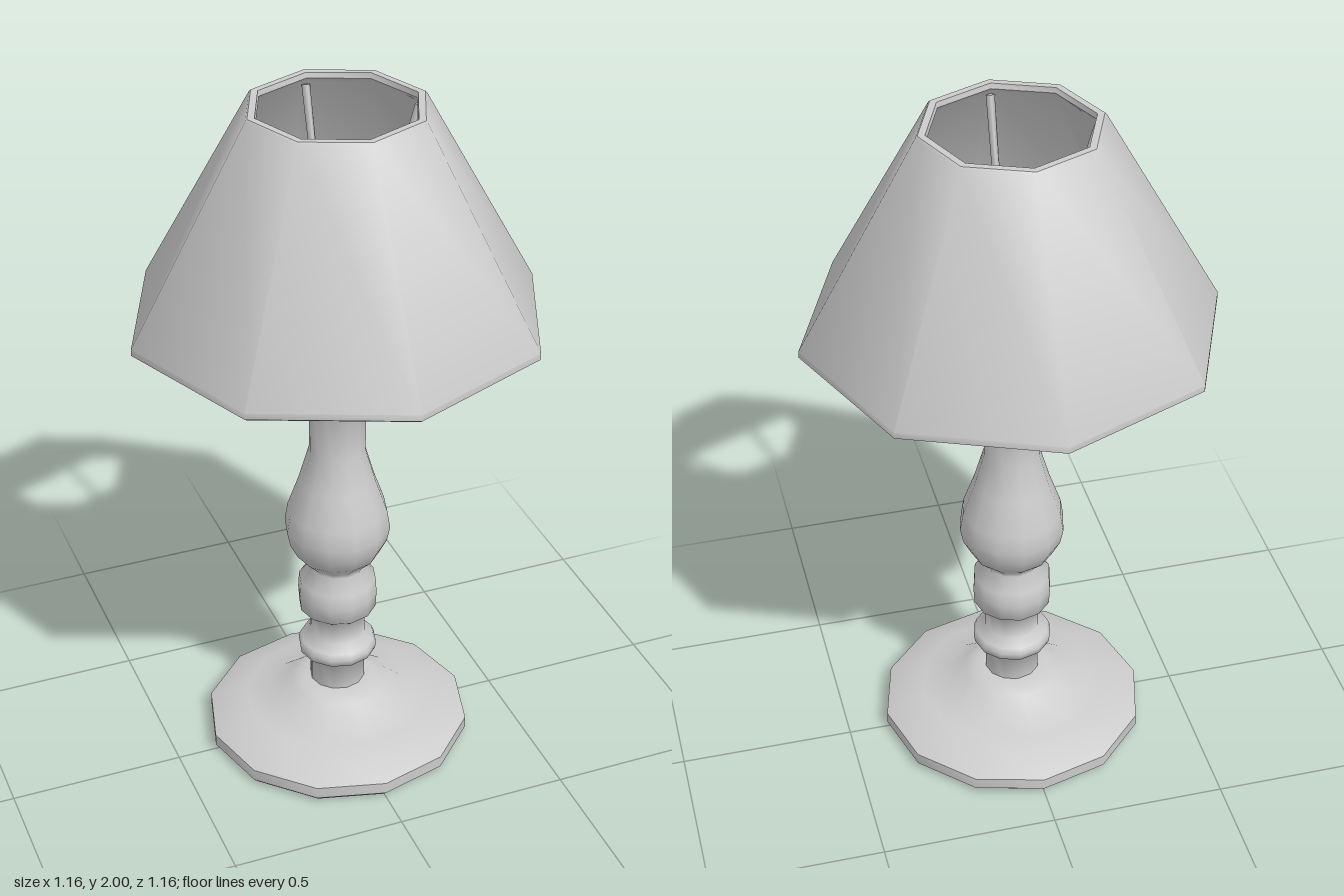
import * as THREE from 'three';
import { toCreasedNormals } from 'three/addons/utils/BufferGeometryUtils.js';

const material = new THREE.MeshStandardMaterial({ color: 0xcccccc });

// Lathe part from [radius, height] pairs; edges sharper than the crease stay hard
function turned(name, profile, sides, crease) {
  const points = profile.map(([r, y]) => new THREE.Vector2(r, y));
  const geometry = toCreasedNormals(new THREE.LatheGeometry(points, sides), crease);
  const mesh = new THREE.Mesh(geometry, material);
  mesh.name = name;
  return mesh;
}

// Straight rod between two points
function rod(name, from, to, rFrom, rTo) {
  const direction = to.clone().sub(from);
  const mesh = new THREE.Mesh(
    new THREE.CylinderGeometry(rTo, rFrom, direction.length(), 4), material);
  mesh.position.copy(from).add(to).multiplyScalar(0.5);
  mesh.quaternion.setFromUnitVectors(new THREE.Vector3(0, 1, 0), direction.normalize());
  mesh.name = name;
  return mesh;
}

export function createModel() {
  const lamp = new THREE.Group();
  lamp.name = 'tableLamp';

  // Foot disc with a low dome
  lamp.add(turned('base', [
    [0, 0], [0.37, 0], [0.385, 0.015], [0.385, 0.05], [0.27, 0.105],
    [0.205, 0.107], [0.14, 0.16], [0.11, 0.172], [0.08, 0.176], [0, 0.176],
  ], 12, 0.75));

  // Turned column with rings and a vase-shaped swell
  lamp.add(turned('column', [
    [0.08, 0.17], [0.08, 0.262], [0.112, 0.28], [0.115, 0.3], [0.108, 0.318], [0.08, 0.335],
    [0.08, 0.405], [0.112, 0.432], [0.115, 0.48], [0.112, 0.528], [0.08, 0.57],
    [0.085, 0.585], [0.12, 0.62], [0.143, 0.665], [0.152, 0.71], [0.143, 0.765],
    [0.11, 0.86], [0.08, 0.965],
    [0.08, 1.245], [0.108, 1.262], [0.115, 1.28], [0.11, 1.302], [0.083, 1.325],
    [0.08, 1.37], [0, 1.37],
  ], 12, 1.2));

  // Bulb holder
  lamp.add(turned('socket', [
    [0.06, 1.36], [0.06, 1.385], [0.078, 1.395], [0.078, 1.425], [0.05, 1.44], [0, 1.44],
  ], 12, 0.8));

  // Five-sided bulb with a corner towards +x
  const bulb = turned('bulb', [
    [0.035, 1.43], [0.04, 1.46], [0.07, 1.5], [0.075, 1.54], [0.055, 1.585], [0, 1.605],
  ], 5, 1.5);
  bulb.rotation.y = Math.PI / 2;
  lamp.add(bulb);

  // Octagonal shade: closed wall section with rims at both ends
  lamp.add(turned('shade', [
    [0.57, 1.375], [0.58, 1.382], [0.58, 1.4], [0.25, 1.995], [0.245, 2],
    [0.225, 2], [0.222, 1.985], [0.235, 1.97], [0.555, 1.395], [0.552, 1.375], [0.57, 1.375],
  ], 8, 0.82));

  // Four struts carrying the shade
  for (let i = 0; i < 4; i++) {
    const angle = i * Math.PI / 2;
    const at = (r, y) => new THREE.Vector3(r * Math.cos(angle), y, r * Math.sin(angle));
    lamp.add(rod('strut' + (i + 1), at(0.065, 1.41), at(0.228, 1.965), 0.008, 0.012));
  }
  return lamp;
}
